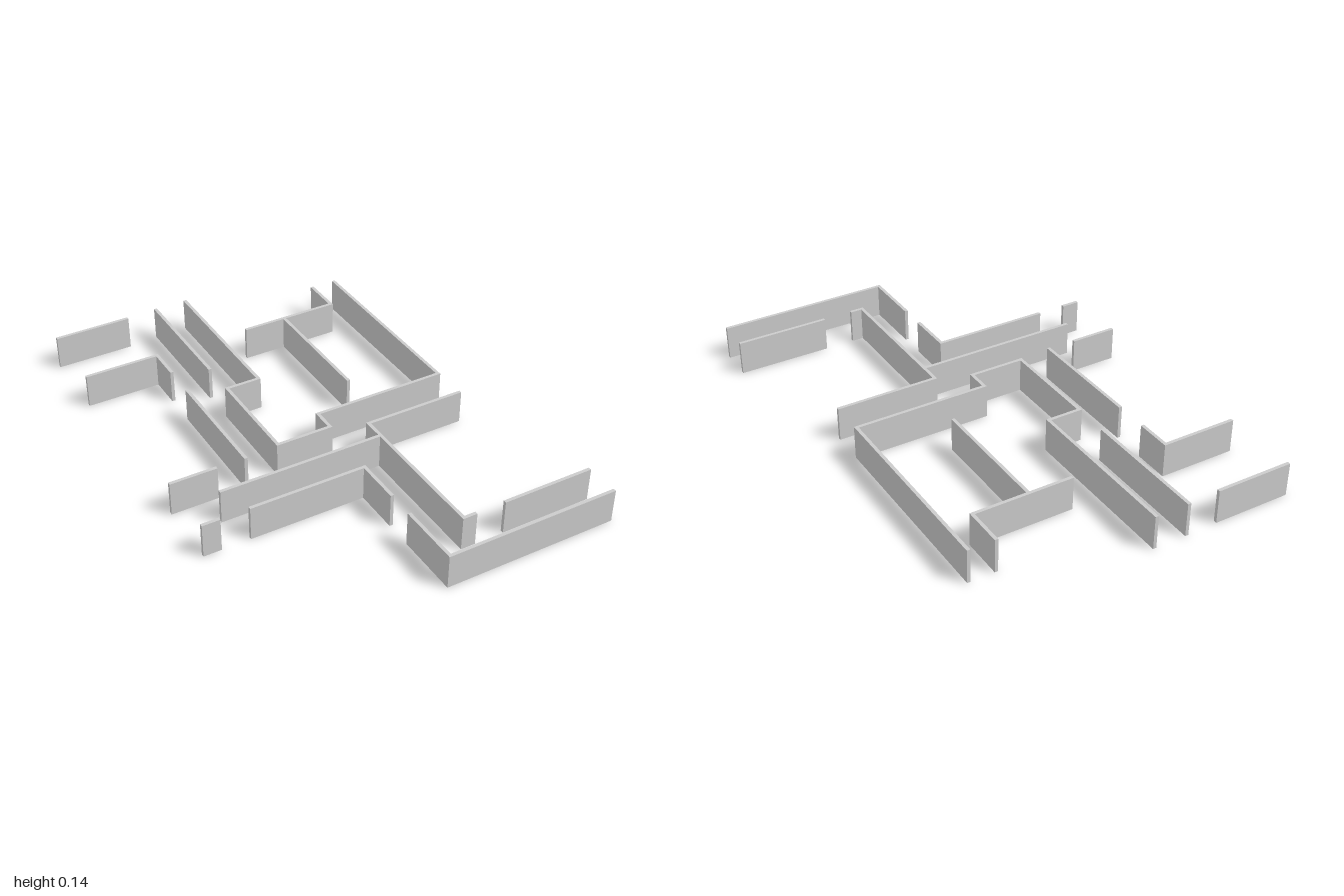
import * as THREE from 'three';

const HEIGHT = 0.144;
const HALF = 0.007; // half of the wall thickness

// Centre lines of the walls on the floor plan, as [x, z] corners
const WALLS = {
  backLeftOuterWall: [[-0.71, -0.99], [-0.38, -0.99]],
  backLeftCornerWall: [[-0.71, -0.66], [-0.39, -0.66], [-0.39, -0.513]],
  leftHallWall: [[-0.39, -0.368], [-0.39, 0.152]],
  leftStubWall: [[-0.71, 0.146], [-0.511, 0.146]],
  backHallWall: [[-0.243, -1], [-0.243, -0.455]],
  centralWall: [[-0.1, -1], [-0.1, -0.298], [-0.243, -0.298], [-0.243, 0.134],
    [-0.01, 0.134], [-0.01, 0.037], [0.561, 0.037], [0.561, -0.82]],
  backRightCornerWall: [[0.45, -0.82], [0.45, -0.653], [0.025, -0.653]],
  roomDivider: [[0.214, -0.653 + HALF], [0.214, -0.102]],
  frontRightWall: [[0.567, 0.19], [0.132, 0.19], [0.132, 0.848], [0.187, 0.848]],
  crossWall: [[-0.567, 0.28], [0.132 - HALF, 0.28]],
  frontLeftStubWall: [[-0.71, 0.418], [-0.635, 0.418]],
  frontLeftCornerWall: [[-0.515, 0.418], [-0.025, 0.418], [-0.025, 0.615]],
  frontOuterWall: [[-0.025, 0.73], [-0.025, 0.993], [0.706, 0.993]],
  frontInnerWall: [[0.313, 0.848], [0.706, 0.848]],
};

// Thickens a right-angled centre line into a mitred outline and raises it
function wallGeometry(path) {
  const pts = path.map(([x, z]) => new THREE.Vector2(x, z));
  const normals = pts.slice(1).map((p, i) => {
    const d = p.clone().sub(pts[i]).normalize();
    return new THREE.Vector2(-d.y, d.x).multiplyScalar(HALF);
  });
  const side = (sign) => pts.map((p, i) => {
    const offset = new THREE.Vector2();
    if (i > 0) offset.add(normals[i - 1]);
    if (i < normals.length) offset.add(normals[i]);
    return p.clone().addScaledVector(offset, sign);
  });
  const shape = new THREE.Shape([...side(1), ...side(-1).reverse()]);
  const geometry = new THREE.ExtrudeGeometry(shape, { depth: HEIGHT, bevelEnabled: false });
  // Lay the plan flat with its second axis along +z, standing on the floor
  return geometry.rotateX(Math.PI / 2).translate(0, HEIGHT, 0);
}

export function createModel() {
  const group = new THREE.Group();
  group.name = 'floorPlanWalls';
  const material = new THREE.MeshStandardMaterial({ color: 0xcccccc });
  for (const [name, path] of Object.entries(WALLS)) {
    const wall = new THREE.Mesh(wallGeometry(path), material);
    wall.name = name;
    group.add(wall);
  }
  return group;
}
